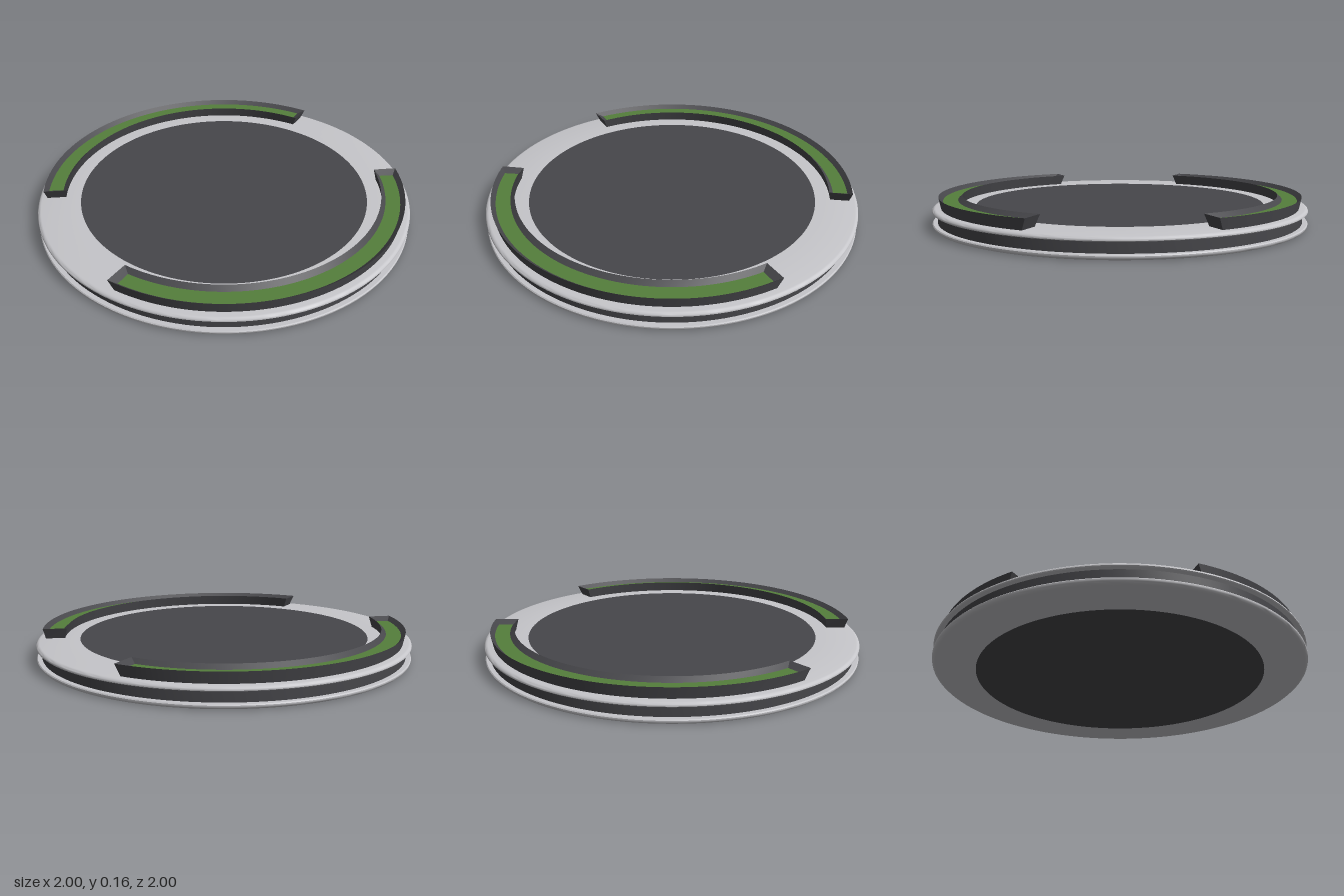
import * as THREE from 'three';
import { toCreasedNormals } from 'three/addons/utils/BufferGeometryUtils.js';

const ARC_STEPS = 64;

// Closed plan outline of a ring sector around +z, counter-clockwise from above
function sectorOutline({ inner, outer, half, y }) {
  const points = [];
  const h = THREE.MathUtils.degToRad(half);
  const add = (r, t) => points.push([r * Math.sin(t), y, r * Math.cos(t)]);
  for (let i = 0; i <= ARC_STEPS; i++) add(outer, -h + (2 * h * i) / ARC_STEPS);
  for (let i = 0; i <= ARC_STEPS; i++) add(inner, h - (2 * h * i) / ARC_STEPS);
  return points;
}

function geometryFromQuads(quads) {
  const positions = [];
  for (const [a, b, c, d] of quads) positions.push(...a, ...b, ...c, ...a, ...c, ...d);
  const geometry = new THREE.BufferGeometry();
  geometry.setAttribute('position', new THREE.Float32BufferAttribute(positions, 3));
  geometry.computeVertexNormals();
  return toCreasedNormals(geometry, 0.4);
}

// Walls joining successive outlines
function loft(levels) {
  const outlines = levels.map(sectorOutline);
  const quads = [];
  for (let k = 0; k < outlines.length - 1; k++) {
    const a = outlines[k], b = outlines[k + 1];
    a.forEach((p, i) => {
      const j = (i + 1) % a.length;
      quads.push([p, a[j], b[j], b[i]]);
    });
  }
  return geometryFromQuads(quads);
}

// Flat upward-facing ring sector
function sectorFace(level) {
  const o = sectorOutline(level), last = o.length - 1;
  const quads = [];
  for (let i = 0; i < ARC_STEPS; i++) quads.push([o[i], o[i + 1], o[last - i - 1], o[last - i]]);
  return geometryFromQuads(quads);
}

function lathe(profile) {
  const points = profile.map(([r, y]) => new THREE.Vector2(r, y));
  return toCreasedNormals(new THREE.LatheGeometry(points, 128), 0.6);
}

export function createModel() {
  const group = new THREE.Group();
  const material = (name, color) => new THREE.MeshStandardMaterial({ name, color });
  const lightGrey = material('light grey', 0xc6c6ca);
  const darkGrey = material('dark grey', 0x47474b);
  const green = material('green', 0x557f3c);
  const add = (name, geometry, mat, parent = group) => {
    const mesh = new THREE.Mesh(geometry, mat);
    mesh.name = name;
    parent.add(mesh);
  };

  // Two rounded plates with a dark recessed band between them
  add('lowerPlate', lathe([[0.775, 0], [0.982, 0], [0.991, 0.003], [0.998, 0.009], [1, 0.016],
    [1, 0.02], [0.996, 0.025], [0.97, 0.025]]), lightGrey);
  add('upperPlate', lathe([[0.97, 0.08], [0.996, 0.08], [1, 0.084], [1, 0.087],
    [0.998, 0.092], [0.991, 0.098], [0.982, 0.1], [0.775, 0.1]]), lightGrey);
  add('grooveBand', lathe([[0.973, 0.02], [0.973, 0.085]]), darkGrey);

  // Dark centres of both faces
  add('topCentre', lathe([[0.775, 0.1], [0, 0.1]]), darkGrey);
  add('bottomCentre', lathe([[0, 0], [0.775, 0]]), darkGrey);

  // Flared curved trays with a sunken green strip, front and back
  const base = { inner: 0.855, outer: 0.955, half: 63.4, y: 0.1 };
  const rim = { inner: 0.843, outer: 0.966, half: 64.8, y: 0.156 };
  const floor = { inner: 0.867, outer: 0.943, half: 62.5, y: 0.135 };
  const tray = loft([base, rim, floor]);
  const strip = sectorFace(floor);
  for (const [name, turn] of [['frontArc', 0], ['backArc', Math.PI]]) {
    const arc = new THREE.Group();
    arc.name = name;
    arc.rotation.y = turn;
    add('arcTray', tray, darkGrey, arc);
    add('arcStrip', strip, green, arc);
    group.add(arc);
  }
  return group;
}
